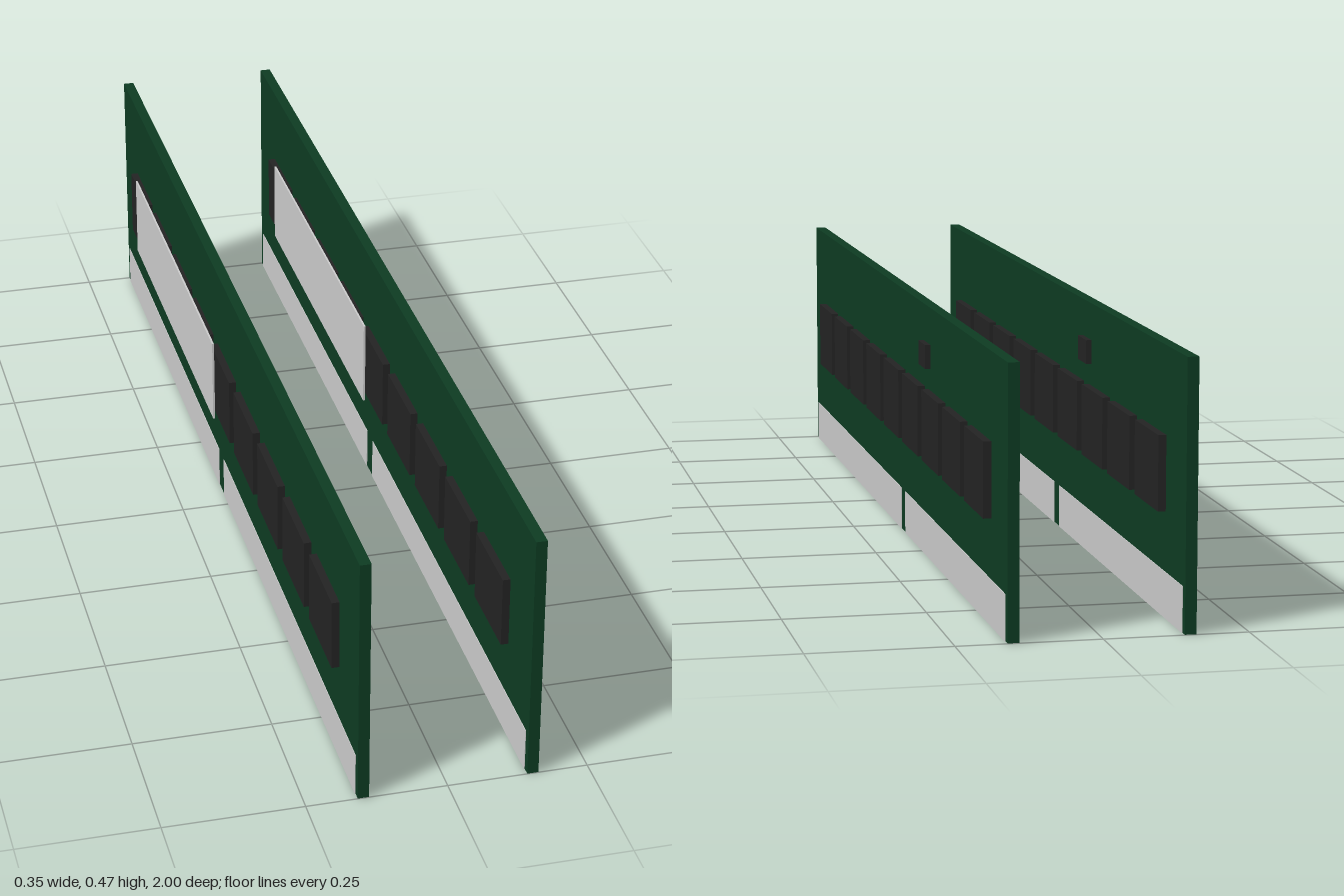
import * as THREE from 'three';

const green = new THREE.MeshStandardMaterial({ color: 0x0d3b22 });
green.name = 'boardGreen';
const black = new THREE.MeshStandardMaterial({ color: 0x232323 });
black.name = 'chipBlack';
const silver = new THREE.MeshStandardMaterial({ color: 0xcacaca });
silver.name = 'contactSilver';

// Box given by its min and max corners
function box(name, material, [x0, y0, z0], [x1, y1, z1]) {
  const mesh = new THREE.Mesh(new THREE.BoxGeometry(x1 - x0, y1 - y0, z1 - z0), material);
  mesh.position.set((x0 + x1) / 2, (y0 + y1) / 2, (z0 + z1) / 2);
  mesh.name = name;
  return mesh;
}

function memoryStick() {
  const stick = new THREE.Group();
  stick.name = 'memoryStick';

  // Circuit board
  stick.add(box('board', green, [-0.01, 0.0005, -1], [0.01, 0.467, 1]));

  // Edge contacts on both faces, split by the key gap
  stick.add(box('frontContacts', silver, [-0.0112, 0, -0.037], [0.0112, 0.08, 0.985]));
  stick.add(box('backContacts', silver, [-0.0112, 0, -0.985], [0.0112, 0.08, -0.079]));

  // Nine memory chips on each face
  for (let i = -4; i <= 4; i++) {
    const z = i * 0.1975;
    stick.add(box('memoryChipLeft', black, [0.009, 0.184, z - 0.08], [0.0238, 0.315, z + 0.08]));
    stick.add(box('memoryChipRight', black, [-0.0238, 0.184, z - 0.08], [-0.009, 0.315, z + 0.08]));
  }

  // Small controller chip
  stick.add(box('controllerChip', black, [0.009, 0.355, -0.333], [0.02, 0.399, -0.267]));

  // Blank label plate over the chips on the right face
  stick.add(box('label', silver, [-0.0275, 0.167, -0.8], [-0.0238, 0.331, -0.05]));
  return stick;
}

export function createModel() {
  const model = new THREE.Group();
  model.name = 'memorySticks';
  for (const x of [-0.149, 0.152]) {
    const stick = memoryStick();
    stick.position.x = x;
    model.add(stick);
  }
  return model;
}
